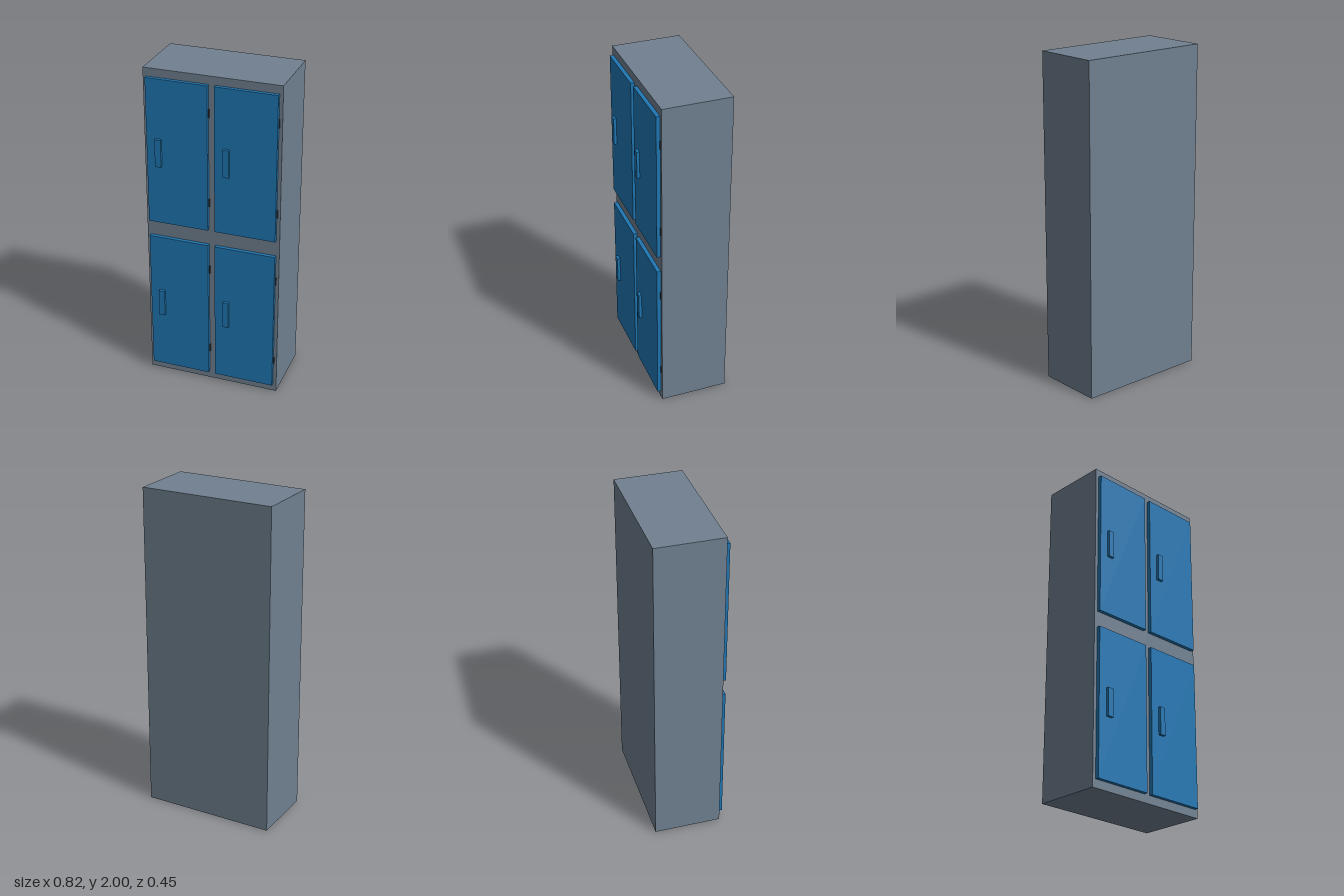
import * as THREE from 'three';

export function createModel() {
  const group = new THREE.Group();
  group.name = 'lockerCabinet';
  const bodyMat = new THREE.MeshStandardMaterial({ color: 0x708090 });
  const doorMat = new THREE.MeshStandardMaterial({ color: 0x1f77b4 });
  const hingeMat = new THREE.MeshStandardMaterial({ color: 0x333333 });

  const add = (parent, name, geometry, material, x, y, z) => {
    const mesh = new THREE.Mesh(geometry, material);
    mesh.name = name;
    mesh.position.set(x, y, z);
    parent.add(mesh);
  };

  // Cabinet body
  const front = 0.184;
  const doorW = 0.369;
  add(group, 'cabinetBody', new THREE.BoxGeometry(0.82, 2, 0.41), bodyMat, 0, 1, front - 0.205);

  // Shared door parts
  const panel = new THREE.BoxGeometry(doorW, 0.9, 0.023);
  const handle = new THREE.BoxGeometry(0.037, 0.17, 0.017);
  const hinge = new THREE.CylinderGeometry(0.005, 0.005, 0.053, 12);

  // Two rows of two doors, hinged on the +x edge
  for (const y of [0.5, 1.5]) {
    for (const x of [-0.205, 0.205]) {
      const door = new THREE.Group();
      door.name = (y > 1 ? 'upper' : 'lower') + (x > 0 ? 'Left' : 'Right') + 'Door';
      door.position.set(x, y, front);
      add(door, 'doorPanel', panel, doorMat, 0, 0, 0.0115);
      add(door, 'handle', handle, doorMat, -0.111, 0.002, 0.0315);
      for (const hy of [-0.278, 0.278]) add(door, 'hinge', hinge, hingeMat, doorW / 2 + 0.0005, hy, 0);
      group.add(door);
    }
  }
  return group;
}
